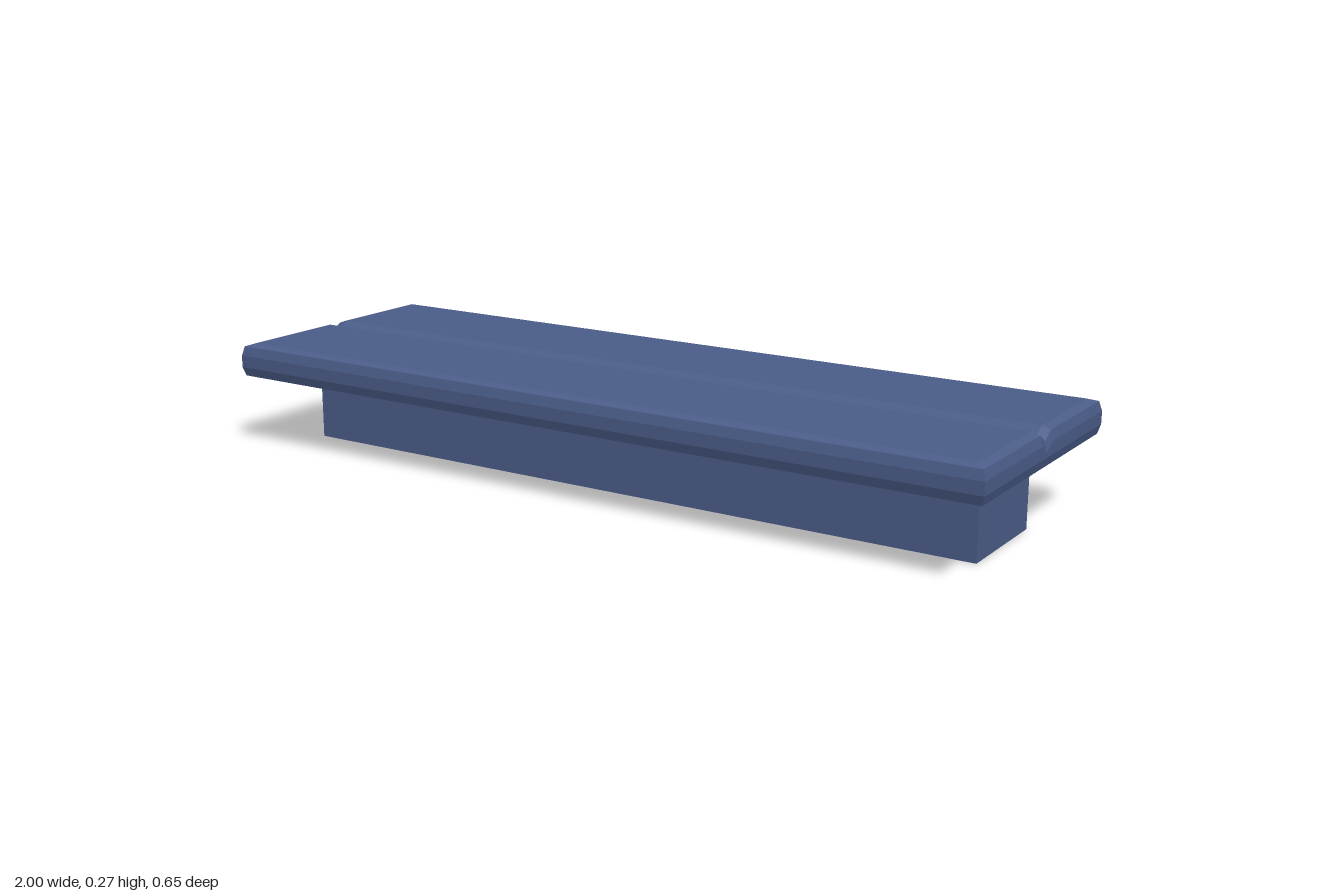
import * as THREE from 'three';

const slateBlue = new THREE.MeshStandardMaterial({ color: 0x4b5d8a, side: THREE.DoubleSide, flatShading: true });
slateBlue.name = 'slateBlue';

// Slab shell, open underneath: stacked rings with rounded rims and a V groove along x
function slabShell() {
  const halfX = 1, halfZ = 0.326, grooveHalf = 0.03, grooveDepth = 0.018;
  // [inset, height, groove depth] from the top down
  const levels = [
    [0.026, 0.27, grooveDepth],
    [0.006, 0.263, grooveDepth],
    [0, 0.24, grooveDepth],
    [0, 0.21, 0],
    [0.006, 0.188, 0],
    [0.026, 0.182, 0],
  ];
  const n = 10, points = [], index = [];
  for (const [inset, y, drop] of levels) {
    const x = halfX - inset, z = halfZ - inset;
    const zs = [-z, -grooveHalf, 0, grooveHalf, z];
    for (const pz of zs) points.push(x, pz === 0 ? y - drop : y, pz);
    for (const pz of zs.reverse()) points.push(-x, pz === 0 ? y - drop : y, pz);
  }
  // top strips across the length
  for (let j = 0; j < 4; j++) {
    const a = j, b = j + 1, c = 8 - j, d = 9 - j;
    index.push(a, d, c, a, c, b);
  }
  // rim bands
  for (let k = 0; k < levels.length - 1; k++) {
    for (let j = 0; j < n; j++) {
      const u = k * n + j, u2 = k * n + (j + 1) % n;
      index.push(u + n, u, u2, u + n, u2, u2 + n);
    }
  }
  const indexed = new THREE.BufferGeometry();
  indexed.setAttribute('position', new THREE.Float32BufferAttribute(points, 3));
  indexed.setIndex(index);
  const geometry = indexed.toNonIndexed();
  geometry.computeVertexNormals();
  return geometry;
}

// Four upright walls, open above and below
function openBox(width, height, depth) {
  const geometry = new THREE.BoxGeometry(width, height, depth);
  const all = Array.from(geometry.index.array);
  geometry.setIndex([...all.slice(0, 12), ...all.slice(24)]);
  geometry.clearGroups();
  return geometry;
}

export function createModel() {
  const model = new THREE.Group();
  model.name = 'groovedBench';

  const top = new THREE.Mesh(slabShell(), slateBlue);
  top.name = 'groovedTop';
  model.add(top);

  const base = new THREE.Mesh(openBox(1.824, 0.178, 0.273), slateBlue);
  base.name = 'base';
  base.position.y = 0.089;
  model.add(base);

  return model;
}
